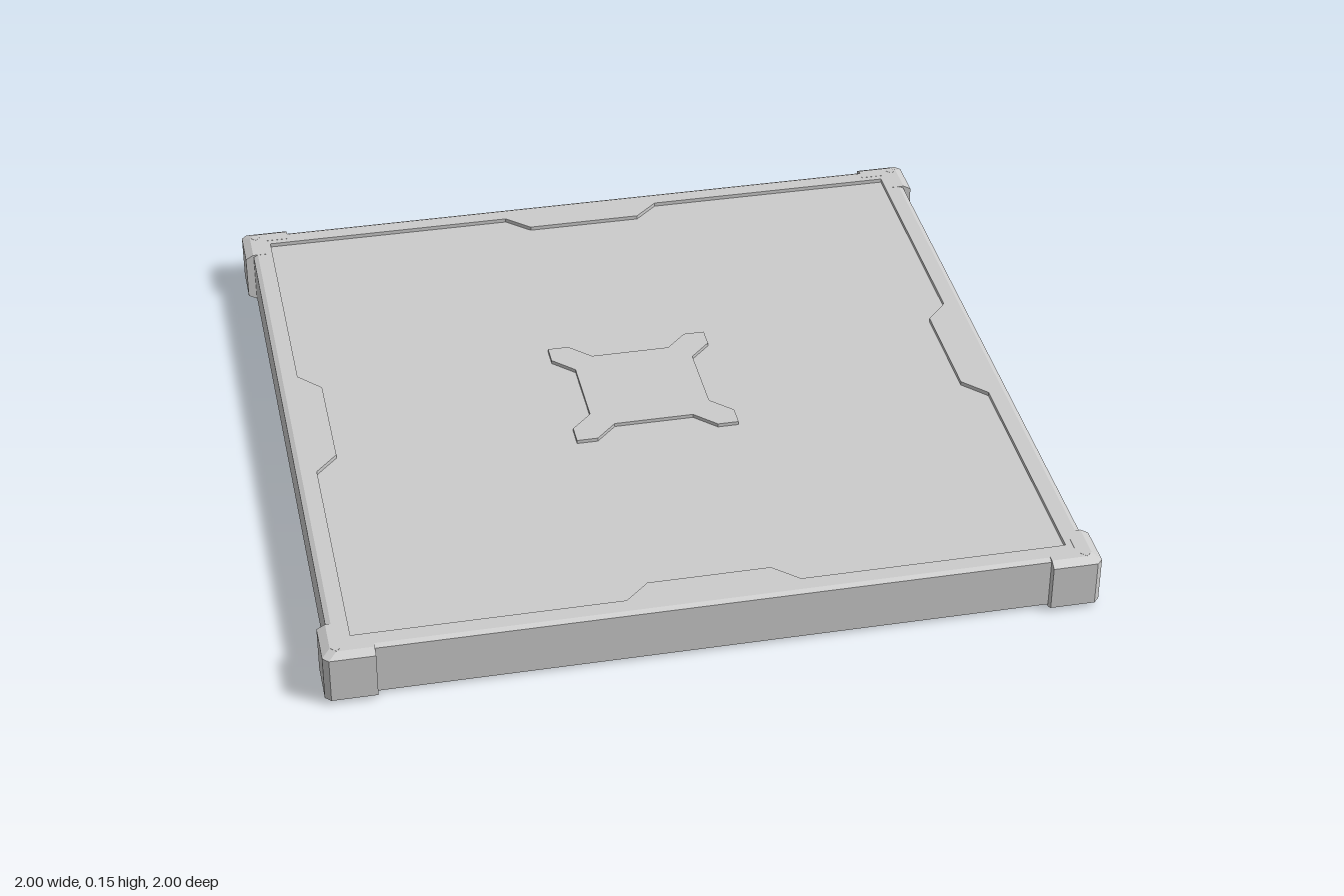
import * as THREE from 'three';

const material = new THREE.MeshStandardMaterial({ color: 0xcccccc, flatShading: true });

function add(parent, name, geometry) {
  const mesh = new THREE.Mesh(geometry, material);
  mesh.name = name;
  parent.add(mesh);
  return mesh;
}

// Repeats a run of points four times around the origin
function fourfold(run) {
  const points = [];
  for (let k = 0; k < 4; k++) {
    for (const [x, y] of run) {
      points.push(new THREE.Vector2(x, y).rotateAround(new THREE.Vector2(), k * Math.PI / 2));
    }
  }
  return points;
}

// Upright prism from y0 to y1; points beyond `limit` are pulled in at both ends to make an outer bevel
function prism(shape, y0, y1, bevel = 0, inset = 0, limit = 9) {
  const geometry = new THREE.ExtrudeGeometry(shape, { depth: 3, steps: 3, bevelEnabled: false });
  const levels = [y0, y0 + bevel, y1 - bevel, y1];
  const p = geometry.attributes.position;
  const pull = (v) => (Math.abs(v) > limit ? v - Math.sign(v) * inset : v);
  for (let i = 0; i < p.count; i++) {
    const level = Math.round(p.getZ(i));
    if (bevel && (level === 0 || level === 3)) p.setXY(i, pull(p.getX(i)), pull(p.getY(i)));
    p.setZ(i, bevel ? levels[level] : y0 + (y1 - y0) * level / 3);
  }
  geometry.rotateX(-Math.PI / 2);
  geometry.computeVertexNormals();
  return geometry;
}

export function createModel() {
  const model = new THREE.Group();
  model.name = 'floorPanel';

  // Frame with a notched opening on both faces
  const frame = new THREE.Shape(fourfold([[0.977, 0.977]]));
  frame.holes.push(new THREE.Path(fourfold([
    [0.922, -0.225], [0.862, -0.16], [0.862, 0.16], [0.922, 0.225], [0.922, 0.922],
  ])));
  add(model, 'frame', prism(frame, 0.001, 0.149, 0.006, 0.013, 0.96));

  // Sunken plate filling the frame
  const plate = add(model, 'plate', new THREE.BoxGeometry(1.9, 0.126, 1.9));
  plate.position.y = 0.075;

  // Four-armed raised centre, showing on top and bottom
  const centre = new THREE.Shape(fourfold([
    [0.165, -0.108], [0.165, 0.108], [0.222, 0.165], [0.222, 0.222], [0.165, 0.222], [0.108, 0.165],
  ]));
  add(model, 'centrePad', prism(centre, 0.002, 0.148));

  // Bevelled corner guards, each with a small stud
  const guard = new THREE.Shape([
    [0.868, 0.94], [0.94, 0.94], [0.94, 0.868], [1, 0.868], [1, 0.985], [0.985, 1], [0.868, 1],
  ].map(([x, y]) => new THREE.Vector2(x, y)));
  const guardGeometry = prism(guard, 0.0005, 0.1495, 0.012, 0.022, 0.96);
  const studGeometry = new THREE.CylinderGeometry(0.015, 0.015, 0.15, 4);
  for (let k = 0; k < 4; k++) {
    const corner = new THREE.Group();
    corner.name = 'corner' + (k + 1);
    add(corner, 'cornerGuard', guardGeometry);
    add(corner, 'cornerStud', studGeometry).position.set(0.963, 0.075, -0.963);
    corner.rotation.y = k * Math.PI / 2;
    model.add(corner);
  }
  return model;
}
